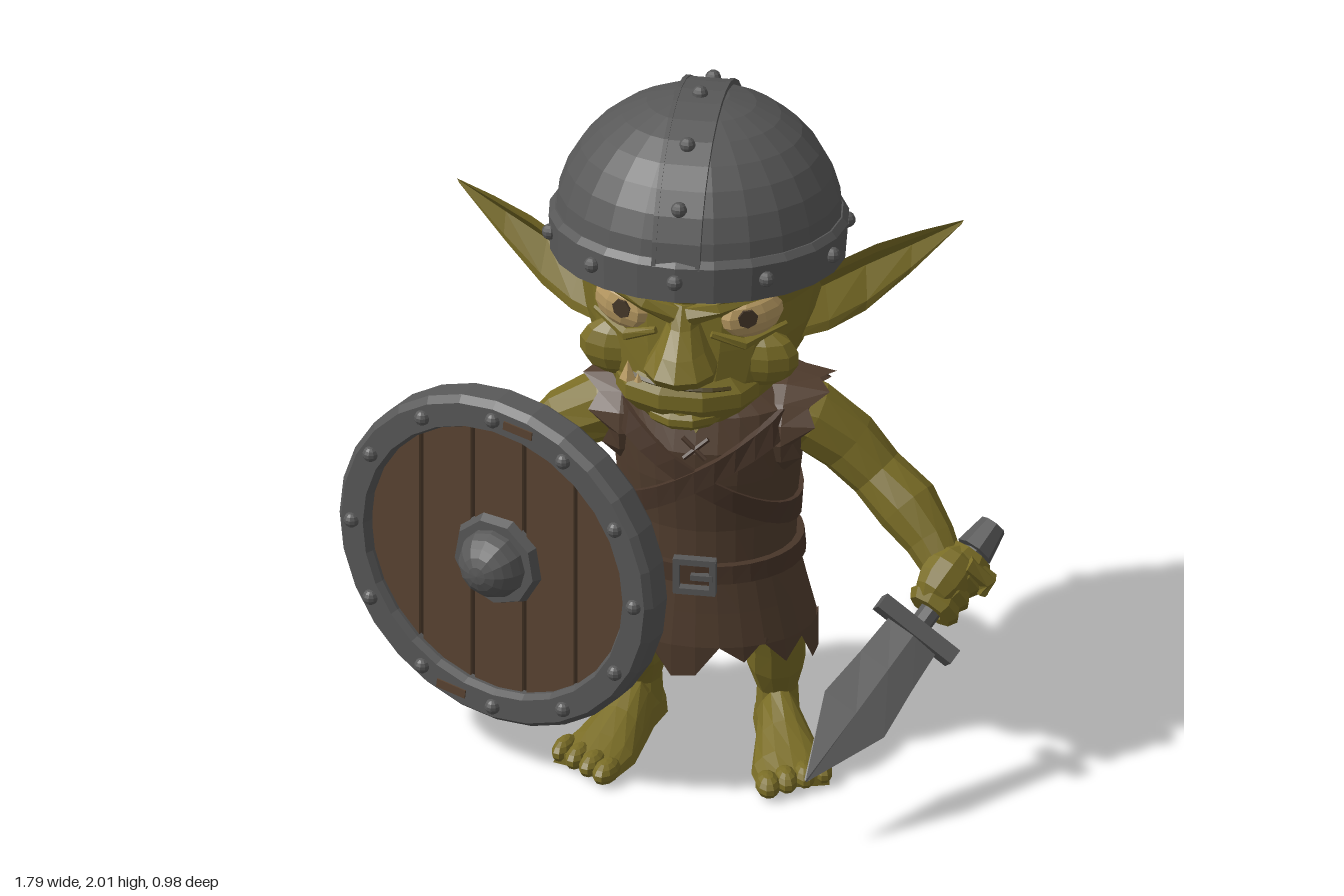
import * as THREE from 'three';

const paint = (name, color) => Object.assign(new THREE.MeshStandardMaterial({ color }), { name });
const M = {
  skin: paint('olive skin', 0x7a6d26), crease: paint('skin crease', 0x483d18),
  metal: paint('dark iron', 0x585858), blade: paint('blade steel', 0x626262),
  cloth: paint('brown cloth', 0x513d2e), strap: paint('dark leather', 0x483529),
  wood: paint('plank wood', 0x5a4432), gap: paint('plank gap', 0x35271c),
  eye: paint('ivory', 0xb89a62), pupil: paint('pupil', 0x46382a),
};
M.cloth.side = THREE.DoubleSide;
const V = (x, y, z) => new THREE.Vector3(x, y, z);
const TAU = Math.PI * 2;

// Faceted mesh added to a parent
function add(parent, name, geo, mat, x = 0, y = 0, z = 0) {
  const g = geo.index ? geo.toNonIndexed() : geo;
  g.computeVertexNormals();
  const mesh = new THREE.Mesh(g, mat);
  mesh.name = name;
  mesh.position.set(x, y, z);
  parent.add(mesh);
  return mesh;
}
function group(parent, name, x = 0, y = 0, z = 0) {
  const g = new THREE.Group();
  g.name = name;
  g.position.set(x, y, z);
  parent.add(g);
  return g;
}
function ball(parent, name, mat, x, y, z, sx, sy = sx, sz = sx) {
  return add(parent, name, new THREE.SphereGeometry(1, 10, 7).scale(sx, sy, sz), mat, x, y, z);
}
// Skin over closed cross-sections, turned so that faces point outwards
function loft(rings, caps = true, closed = false) {
  const n = rings[0].length, pts = rings.flat(), idx = [];
  const last = closed ? rings.length : rings.length - 1;
  for (let r = 0; r < last; r++) for (let i = 0; i < n; i++) {
    const a = r * n + i, b = r * n + (i + 1) % n, o = ((r + 1) % rings.length) * n;
    const c = o + i, d = o + (i + 1) % n;
    idx.push(a, b, c, b, d, c);
  }
  if (caps && !closed) [0, rings.length - 1].forEach((r) => {
    const c = rings[r].reduce((s, p) => s.add(p), V(0, 0, 0)).divideScalar(n);
    pts.push(c);
    for (let i = 0; i < n; i++) {
      const a = r * n + i, b = r * n + (i + 1) % n;
      idx.push(pts.length - 1, ...(r ? [a, b] : [b, a]));
    }
  });
  const mid = pts.reduce((s, p) => s.add(p), V(0, 0, 0)).divideScalar(pts.length);
  let vol = 0;
  for (let i = 0; i < idx.length; i += 3) {
    const [a, b, c] = [0, 1, 2].map((k) => pts[idx[i + k]].clone().sub(mid));
    vol += a.dot(b.cross(c));
  }
  if (vol < 0) idx.reverse();
  const g = new THREE.BufferGeometry().setFromPoints(pts);
  g.setIndex(idx);
  return g;
}
// Rounded limb through points [x, y, z, radius]
function limb(path, n = 8) {
  const p = path.map((q) => V(q[0], q[1], q[2]));
  return loft(p.map((c, k) => {
    const t = p[Math.min(k + 1, p.length - 1)].clone().sub(p[Math.max(k - 1, 0)]).normalize();
    const q = new THREE.Quaternion().setFromUnitVectors(V(0, -1, 0), t);
    return Array.from({ length: n }, (_, i) =>
      V(Math.sin(i / n * TAU), 0, Math.cos(i / n * TAU)).multiplyScalar(path[k][3]).applyQuaternion(q).add(c));
  }));
}
// Profile rows [y, half width, front z, back z]
function rowAt(rows, y) {
  let i = 0;
  while (i < rows.length - 2 && y > rows[i + 1][0]) i++;
  const a = rows[i], b = rows[i + 1], t = THREE.MathUtils.clamp((y - a[0]) / (b[0] - a[0]), 0, 1);
  return a.map((v, k) => v + (b[k] - v) * t);
}
const rowPoint = ([y, hw, zf, zb], cx, a, grow = 0) =>
  V(cx + (hw + grow) * Math.sin(a), y, (zf + zb) / 2 + ((zf - zb) / 2 + grow) * Math.cos(a));
const rowRing = (row, cx, n, grow) => Array.from({ length: n }, (_, i) => rowPoint(row, cx, i / n * TAU, grow));

const HEAD = [[1.12, .11, .15, -.2], [1.15, .17, .25, -.225], [1.2, .225, .28, -.275], [1.28, .28, .265, -.345],
  [1.38, .315, .25, -.385], [1.48, .335, .235, -.42], [1.56, .35, .26, -.44], [1.66, .355, .25, -.43]];
const TORSO = [[.4, .295, .14, -.3], [.5, .27, .13, -.285], [.62, .24, .12, -.28], [.75, .24, .12, -.3],
  [.9, .255, .14, -.335], [1, .27, .14, -.34], [1.09, .26, .1, -.3], [1.14, .17, .05, -.23]];
const HX = .075, BX = .09;

function faceZ(dx, y) {
  const [, hw, zf, zb] = rowAt(HEAD, y);
  return (zf + zb) / 2 + (zf - zb) / 2 * Math.sqrt(Math.max(0, 1 - (dx / hw) ** 2));
}

function buildHead(root) {
  const h = group(root, 'head');
  add(h, 'skull', loft(HEAD.map((r) => rowRing(r, HX, 20))), M.skin);
  add(h, 'neck', new THREE.CylinderGeometry(.13, .14, .16, 10), M.skin, HX, 1.12, -.07);
  add(h, 'nose', loft([[1.305, .05, .33, .18], [1.325, .095, .36, .18], [1.36, .1, .395, .18], [1.41, .07, .36, .17],
    [1.47, .045, .3, .16], [1.53, .045, .26, .15]].map((r) => rowRing(r, HX, 10))), M.skin);
  ball(h, 'muzzle', M.skin, HX, 1.24, .17, .2, .095, .125);
  ball(h, 'chin', M.skin, HX, 1.18, .2, .11, .045, .095);
  const mouth = [-.16, -.1, 0, .08, .13].map((dx) => V(HX + dx, 1.285 - dx * .06,
    Math.max(faceZ(dx, 1.285), .17 + .125 * Math.sqrt(Math.max(0, .77 - (dx / .2) ** 2))) + .001));
  add(h, 'mouthLine', new THREE.TubeGeometry(new THREE.CatmullRomCurve3(mouth), 12, .007, 4), M.crease);
  add(h, 'tooth', new THREE.ConeGeometry(.024, .055, 5), M.eye, -.075, 1.312, .245);
  add(h, 'smallTooth', new THREE.ConeGeometry(.012, .025, 5), M.eye, -.045, 1.298, .26);
  for (const s of [1, -1]) {
    const X = (dx) => HX + s * dx;
    const e = ball(h, 'eye', M.eye, X(.178), 1.475, faceZ(.178, 1.475) - .006, .09, .064, .036);
    e.rotation.set(0, s * .5, s * .15);
    const p = add(h, 'pupil', new THREE.CylinderGeometry(.028, .028, .008, 7).rotateX(Math.PI / 2), M.pupil,
      X(.172), 1.482, faceZ(.172, 1.48) + .029);
    p.rotation.y = s * .4;
    const arc = (pts) => limb(pts.map(([dx, y, r, lift]) => [X(dx), y, faceZ(dx, y) + lift, r]), 6);
    add(h, 'brow', arc([[.02, 1.5, .03, .012], [.1, 1.535, .026, .022], [.2, 1.572, .026, .02], [.29, 1.55, .015, 0]]), M.skin);
    add(h, 'eyeBag', arc([[.075, 1.435, .01, .003], [.16, 1.398, .018, .004], [.26, 1.42, .008, .002]]), M.skin);
    ball(h, 'cheek', M.skin, X(.19), 1.325, faceZ(.19, 1.325) - .045, .11, .085, .06);
    // Ear sections: [top x, y, z], [bottom x, y, z], cup depth
    const ear = [[[.25, 1.47, .01], [.25, 1.31, .02], .06], [[.36, 1.52, -.045], [.35, 1.318, -.035], .075],
      [[.47, 1.56, -.1], [.44, 1.35, -.1], .075], [[.58, 1.58, -.155], [.55, 1.44, -.16], .045],
      [[.69, 1.592, -.21], [.685, 1.58, -.21], .004]].map(([u, l, d]) => {
      const a = V(X(u[0]), u[1], u[2]), b = V(X(l[0]), l[1], l[2]);
      const at = (t, x, z) => a.clone().lerp(b, t).add(V(s * x, 0, z));
      return [a, at(.14, 0, -d * .05), at(.45, -d * .3, -d * .6), at(.86, 0, -d * .05), b, at(.5, -d * .4, -d * 1.25)];
    });
    add(h, 'ear', loft(ear), M.skin);
  }
}

function buildHelmet(root) {
  const h = group(root, 'helmet', .066, 1.59, -.07);
  h.rotation.x = -.13;
  add(h, 'dome', new THREE.SphereGeometry(1, 24, 8, 0, TAU, 0, Math.PI / 2).scale(.388, .355, .388), M.metal, 0, .035, 0);
  const rim = [[.365, -.06], [.4, -.06], [.406, .04], [.39, .058], [.365, .058], [.365, -.06]];
  add(h, 'brimBand', new THREE.LatheGeometry(rim.map(([x, y]) => new THREE.Vector2(x, y)), 24), M.metal);
  const at = (a, up) => [(.355 + up) * Math.sin(a) + .035, (.388 + up) * Math.cos(a)];
  const strip = (x0, x1, up) => loft(Array.from({ length: 17 }, (_, i) => {
    const a = i / 16 * Math.PI, [y0, z0] = at(a, -.03), [y1, z1] = at(a, up);
    return [V(x0, y0, z0), V(x1, y0, z0), V(x1, y1, z1), V(x0, y1, z1)];
  }));
  add(h, 'crestBand', strip(-.055, .055, .007), M.metal);
  for (const x of [-.06, .06]) add(h, 'crestEdge', strip(x - .006, x + .006, .01), M.metal);
  for (const a of [.45, .95, 1.5, 2.1, 2.6]) {
    const [y, z] = at(a, .008);
    ball(h, 'crestRivet', M.metal, 0, y, z, .022);
  }
  for (let i = 0; i < 10; i++) {
    const a = i / 10 * TAU;
    ball(h, 'brimRivet', M.metal, Math.sin(a) * .405, 0, Math.cos(a) * .405, .022);
  }
}

function buildTunic(root) {
  const t = group(root, 'tunic');
  const N = 28, drop = [.31, .4, .35, .42, .33, .39, .3];
  const hem = Array.from({ length: N }, (_, i) => {
    const p = rowPoint([0, .3, .135, -.3], BX, i / N * TAU);
    p.y = drop[i % 7];
    return p;
  });
  add(t, 'tunicBody', loft([hem, ...TORSO.map((r) => rowRing(r, BX, N))], false), M.cloth);
  add(t, 'collar', loft([rowRing(TORSO[7], BX, 20), rowRing([1.15, .12, .04, -.18], BX, 20)]), M.cloth);
  add(t, 'hips', new THREE.SphereGeometry(1, 12, 8).scale(.23, .12, .18), M.strap, BX, .5, -.08);
  // Bands hugging the torso, with height given by angle
  const wrap = (yOf, half, out) => loft(Array.from({ length: 32 }, (_, i) => {
    const a = i / 32 * TAU, y = yOf(a);
    return [[-half, -.01], [half, -.01], [half, out], [-half, out]].map(([d, g]) => rowPoint(rowAt(TORSO, y + d), BX, a, g).setY(y + d));
  }), false, true);
  add(t, 'belt', wrap(() => .625, .027, .02), M.strap);
  for (const s of [1, -1]) add(t, 'crossStrap', wrap((a) => .92 + s * .17 * Math.sin(a), .034, .016 + s * .003), M.strap);
  // Ragged cap sleeves
  for (const s of [1, -1]) {
    const ring = (x, r, zig) => Array.from({ length: 16 }, (_, i) => {
      const a = i / 16 * TAU, c = Math.cos(a);
      return V(BX + s * (x + (zig ? .05 * c + (i % 2) * .04 : 0)), 1.0 + r * c, -.11 + r * 1.2 * Math.sin(a));
    });
    add(t, 'sleeve', loft([ring(.14, .135), ring(.22, .145), ring(.25, .125, true)], false), M.cloth);
  }
  // Buckle
  const b = group(t, 'buckle', BX, .625, .142);
  for (const s of [1, -1]) {
    add(b, 'buckleSide', new THREE.BoxGeometry(.018, .1, .025), M.metal, s * .05, 0, 0);
    add(b, 'buckleBar', new THREE.BoxGeometry(.115, .018, .025), M.metal, 0, s * .045, 0);
  }
  add(b, 'bucklePin', new THREE.BoxGeometry(.06, .016, .02), M.metal, .02, 0, .005);
  // Open neck and lacing
  const notch = new THREE.Shape([[-.05, .04], [0, -.04], [.05, .04]].map(([x, y]) => new THREE.Vector2(x, y)));
  add(t, 'neckNotch', new THREE.ExtrudeGeometry(notch, { depth: .008, bevelEnabled: false }).rotateX(-.5), M.skin, BX, 1.09, .1);
  for (const s of [1, -1]) add(t, 'lace', limb([[BX - s * .035, 1.045, .13, .007], [BX + s * .03, .99, .146, .007]], 5), M.strap);
}

// Closed hand around a vertical bar
function fist(parent, name, x, y, z, turn) {
  const f = group(parent, name, x, y, z);
  f.rotation.y = turn;
  ball(f, 'palm', M.skin, -.035, 0, 0, .075, .095, .07);
  for (let i = 0; i < 4; i++)
    add(f, 'finger', new THREE.TorusGeometry(.05, .029, 6, 9).rotateX(Math.PI / 2), M.skin, 0, -.072 + i * .048, 0);
  add(f, 'thumb', limb([[-.05, .05, .04, .032], [.02, .06, .08, .028], [.05, .03, .065, .018]], 6), M.skin);
}

function buildLimbs(root) {
  add(root, 'leftArm', limb([[.26, 1.02, -.12, .09], [.36, .99, -.14, .1], [.46, .91, -.15, .09], [.54, .83, -.135, .078],
    [.63, .755, -.1, .088], [.7, .685, -.05, .07], [.75, .62, 0, .056]], 10), M.skin);
  add(root, 'rightArm', limb([[-.08, 1.02, -.12, .09], [-.18, .99, -.13, .1], [-.3, .92, -.13, .088], [-.39, .83, -.1, .078],
    [-.42, .74, -.06, .086], [-.415, .65, -.01, .066], [-.4, .59, .02, .055]], 10), M.skin);
  for (const s of [1, -1]) {
    const leg = group(root, s > 0 ? 'leftLeg' : 'rightLeg', .08 + s * .185, 0, 0);
    add(leg, 'shin', limb([[-s * .02, .5, -.08, .11], [0, .38, -.1, .094], [s * .005, .3, -.115, .08], [0, .22, -.145, .08],
      [0, .13, -.165, .056], [0, .05, -.165, .06]], 10), M.skin);
    const foot = group(leg, 'foot', 0, 0, -.16);
    foot.rotation.y = s * .3;
    add(foot, 'footBody', loft([[-.075, .04, .07], [-.04, .06, .11], [.05, .064, .14], [.15, .085, .1], [.25, .105, .07], [.34, .095, .045]]
      .map(([z, w, h]) => Array.from({ length: 9 }, (_, i) => V(w * Math.cos(i / 8 * Math.PI), .005 + h * Math.sin(i / 8 * Math.PI), z)))), M.skin);
    for (let i = 0; i < 4; i++)
      ball(foot, 'toe', M.skin, s * (-.076 + i * .052), .034, .362 - i * .02, .034 - i * .002, .033, .055);
  }
}

function buildSword(root) {
  const sword = group(root, 'sword', .85, .69, -.11);
  const down = V(-.4, -.47, .59).normalize(), side = V(.23, -.17, .02);
  side.addScaledVector(down, -side.dot(down)).normalize();
  const up = down.clone().negate();
  sword.quaternion.setFromRotationMatrix(new THREE.Matrix4().makeBasis(side, up, side.clone().cross(up)));
  add(sword, 'pommel', new THREE.CylinderGeometry(.038, .054, .09, 8), M.metal, 0, -.025, 0);
  add(sword, 'grip', new THREE.CylinderGeometry(.03, .03, .32, 8), M.metal, 0, -.18, 0);
  add(sword, 'guard', new THREE.BoxGeometry(.25, .045, .06), M.metal, 0, -.34, 0);
  add(sword, 'blade', loft([[-.35, .08, .018], [-.48, .088, .018], [-.63, .102, .016], [-.86, .004, .002]]
    .map(([y, w, d]) => [V(w, y, 0), V(0, y, d), V(-w, y, 0), V(0, y, -d)])), M.blade);
  fist(sword, 'leftHand', 0, -.18, 0, .8);
}

function buildShield(root) {
  const sh = group(root, 'shield', -.43, .645, .148);
  sh.rotation.y = -.39;
  const ring = [[.4, -.055], [.48, -.055], [.495, -.035], [.495, .035], [.478, .055], [.41, .055], [.4, .035], [.4, -.055]];
  add(sh, 'rim', new THREE.LatheGeometry(ring.map(([x, y]) => new THREE.Vector2(x, y)), 28).rotateX(Math.PI / 2), M.metal);
  add(sh, 'backing', new THREE.CylinderGeometry(.405, .405, .03, 28).rotateX(Math.PI / 2), M.gap);
  for (let i = 0; i < 5; i++) {
    const x0 = -.405 + i * .162 + .007, x1 = x0 + .148, top = [];
    for (let k = 0; k <= 4; k++) {
      const x = x0 + (x1 - x0) * k / 4;
      top.push(new THREE.Vector2(x, Math.sqrt(Math.max(.0004, .41 ** 2 - x * x))));
    }
    const under = top.map((p) => new THREE.Vector2(p.x, -p.y)).reverse();
    add(sh, 'plank', new THREE.ExtrudeGeometry(new THREE.Shape([...top, ...under]), { depth: .05, bevelEnabled: false }), M.wood, 0, 0, -.025);
  }
  for (let i = 0; i < 12; i++) {
    const a = i / 12 * TAU;
    ball(sh, 'rimRivet', M.metal, Math.cos(a) * .445, Math.sin(a) * .445, .055, .022);
  }
  add(sh, 'bossFlange', new THREE.CylinderGeometry(.125, .14, .03, 9).rotateX(Math.PI / 2), M.metal, 0, 0, .035);
  add(sh, 'bossDome', new THREE.SphereGeometry(.1, 12, 6, 0, TAU, 0, Math.PI / 2).rotateX(Math.PI / 2), M.metal, 0, 0, .04);
  for (const [x, y, r] of [[.08, .437, -.1], [-.13, -.428, -.12]])
    add(sh, 'rustPatch', new THREE.BoxGeometry(.09, .025, .008), M.wood, x, y, .055).rotation.z = r;
  add(sh, 'handGrip', limb([[0, .08, -.02, .02], [0, .05, -.09, .02], [0, -.15, -.09, .02], [0, -.18, -.02, .02]], 6), M.strap);
  fist(sh, 'rightHand', 0, -.05, -.1, 1.2);
}

export function createModel() {
  const root = new THREE.Group();
  root.name = 'goblinWarrior';
  [buildHead, buildHelmet, buildTunic, buildLimbs, buildSword, buildShield].forEach((build) => build(root));
  return root;
}
